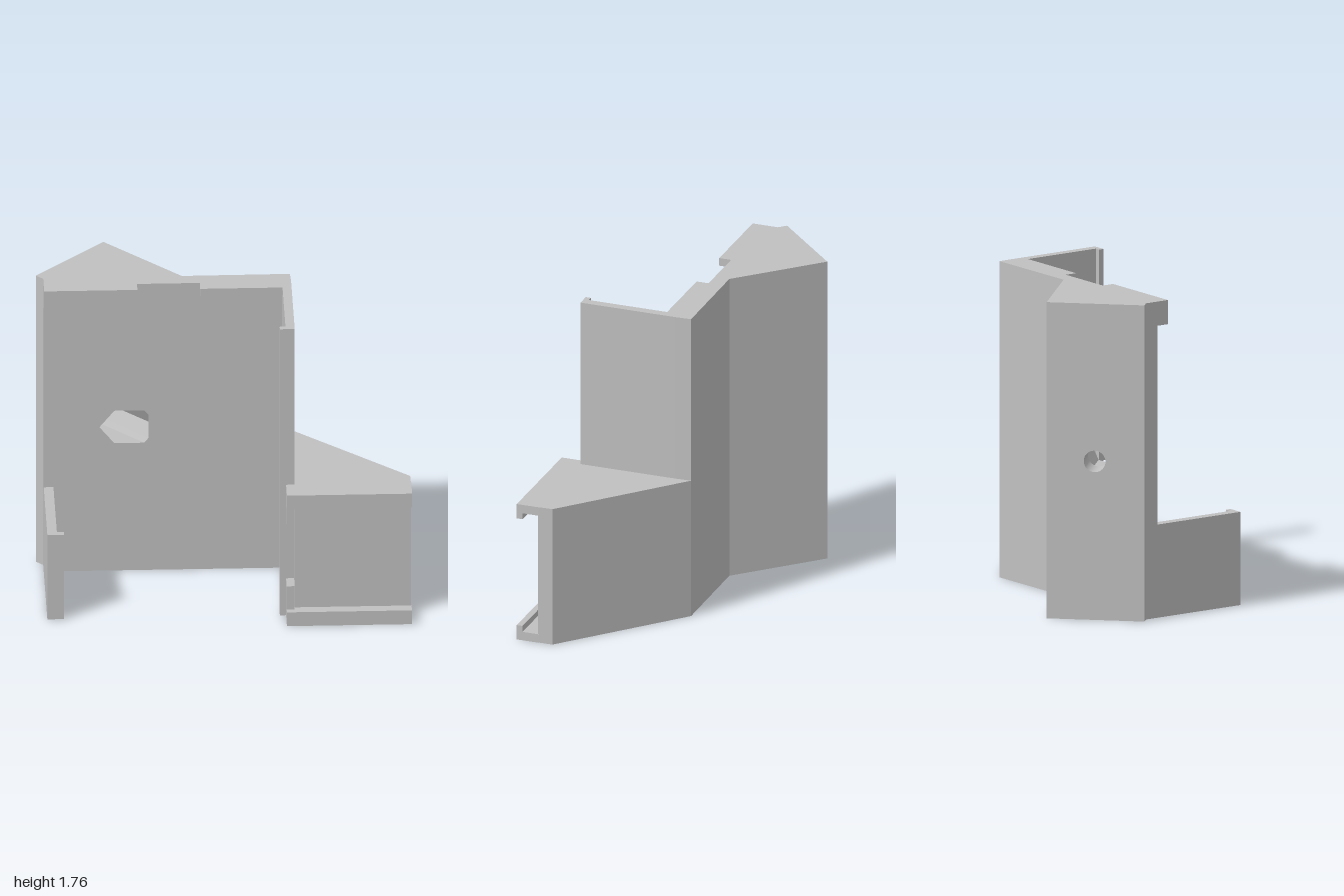
import * as THREE from 'three';

export function createModel() {
  const model = new THREE.Group();
  model.name = 'bracket';
  // double-sided because the main body is an open shell around its pocket
  const grey = new THREE.MeshStandardMaterial({ color: 0xc0c0c0, side: THREE.DoubleSide });
  grey.name = 'grey plastic';
  const H = 1.765;

  const add = (name, geometry, parent = model) => {
    const mesh = new THREE.Mesh(geometry, grey);
    mesh.name = name;
    parent.add(mesh);
    return mesh;
  };
  const outline = (pts) => new THREE.Shape(pts.map(([x, y]) => new THREE.Vector2(x, y)));

  // Diagonal plan axes: s = x + z runs out of the wall, d = z - x runs along it
  const plan = (s, d) => [(s - d) / 2, (s + d) / 2];

  // Upright prism from a plan outline of [x, z] points
  const prism = (name, pts, y0, y1) => {
    const g = new THREE.ExtrudeGeometry(outline(pts.map(([x, z]) => [x, -z])), { depth: y1 - y0, bevelEnabled: false });
    g.rotateX(-Math.PI / 2).translate(0, y0, 0);
    return add(name, g);
  };
  const block = (name, s0, s1, d0, d1, y0, y1) =>
    prism(name, [plan(s0, d0), plan(s1, d0), plan(s1, d1), plan(s0, d1)], y0, y1);

  // Main body shell, with openings for the nut pocket and the bore
  const body = new THREE.Group();
  body.name = 'mainBody';
  model.add(body);
  const plan0 = [[-1, -0.26], [-1, 0.28], [-0.945, 0.28], [-0.89, 0.335], [0.065, -0.62], [0, -0.68], [-0.415, -0.26]];
  const cy = 0.885, cz = 0.005, boreR = 0.06, floorX = -0.85, pocketX = -0.485;

  // Nut pocket section in [z, y]; its rear corner is cut off by the pocket end
  const hex = [[0.12, cy], [0.0625, cy + 0.1], [-0.0525, cy + 0.1], [-0.07, cy + 0.07], [-0.11, cy],
    [-0.07, cy - 0.07], [-0.0525, cy - 0.1], [0.0625, cy - 0.1]];

  const boreHole = (u) => new THREE.Path().absarc(u, cy, boreR, 0, Math.PI * 2, true);
  const pocketHole = outline(hex.filter((p, i) => i !== 4).map(([z, y]) => [(0.335 - z) * Math.SQRT2, y]));
  const holes = { 0: boreHole(cz + 0.26), 3: pocketHole };

  plan0.forEach(([ax, az], i) => {
    const [bx, bz] = plan0[(i + 1) % plan0.length];
    const len = Math.hypot(bx - ax, bz - az);
    const face = outline([[0, 0], [len, 0], [len, H], [0, H]]);
    if (holes[i]) face.holes.push(holes[i]);
    const dir = new THREE.Vector3((bx - ax) / len, 0, (bz - az) / len);
    const m = new THREE.Matrix4().makeBasis(dir, new THREE.Vector3(0, 1, 0), new THREE.Vector3(-dir.z, 0, dir.x));
    m.setPosition(ax, 0, az);
    add('bodySide', new THREE.ShapeGeometry(face, 24).applyMatrix4(m), body);
  });
  add('bodyTop', new THREE.ShapeGeometry(outline(plan0.map(([x, z]) => [x, -z])))
    .rotateX(-Math.PI / 2).translate(0, H, 0), body);
  add('bodyBottom', new THREE.ShapeGeometry(outline(plan0)).rotateX(Math.PI / 2), body);

  // Pocket sides, running along x up to the wall face
  const pos = [];
  const frontX = (z) => Math.min(pocketX, -0.555 - z);
  hex.forEach(([az, ay], i) => {
    const [bz, by] = hex[(i + 1) % hex.length];
    const a0 = [floorX, ay, az], b0 = [floorX, by, bz];
    const a1 = [frontX(az), ay, az], b1 = [frontX(bz), by, bz];
    pos.push(...a0, ...b0, ...b1, ...a0, ...b1, ...a1);
  });
  const sides = new THREE.BufferGeometry();
  sides.setAttribute('position', new THREE.Float32BufferAttribute(pos, 3));
  sides.computeVertexNormals();
  add('nutPocketSides', sides, body);

  // Pocket floor, hidden end and bolt bore
  const floor = outline(hex.map(([z, y]) => [-z, y]));
  floor.holes.push(boreHole(-cz));
  add('nutPocketFloor', new THREE.ShapeGeometry(floor, 24).rotateY(Math.PI / 2).translate(floorX, 0, 0), body);
  add('nutPocketEnd', new THREE.ShapeGeometry(outline(hex.slice(3, 6)))
    .rotateY(-Math.PI / 2).translate(pocketX, 0, 0), body);
  add('boltBore', new THREE.CylinderGeometry(boreR, boreR, floorX + 1, 48, 1, true)
    .rotateZ(Math.PI / 2).translate((floorX - 1) / 2, cy, cz), body);

  // Ledges along the top of the wall
  block('topLedgeRight', -0.555, -0.457, 0.505, 1.22, 1.72, H);
  block('topLedgeLeft', -0.555, -0.457, -0.615, 0.02, 1.72, H);
  block('cornerTab', -0.555, -0.457, 1.15, 1.225, 1.63, H);

  // Low clip arm on the right with its hooked end
  block('clipArm', -0.555, 0.235, 1.15, 1.225, 0, 0.52);
  block('clipHook', 0.19, 0.235, 1.095, 1.15, 0, 0.52);

  // Tall side wall with its hooked edge
  block('sideWall', -0.555, 0.232, -0.685, -0.615, 0, H);
  block('sideWallHook', 0.19, 0.232, -0.615, -0.57, 0, H);

  // Solid wedge carrying the slotted rail
  prism('railWedge', [[0, -0.68], [0.85, -0.73], plan(0.238, -1.582), plan(0.238, -0.685), [0.065, -0.62]], 0, 0.805);

  // Rail flanges, lips and end stops, mirrored about mid height
  const mid = 0.4025;
  const mirrored = (name, s0, s1, d0, d1, y0, y1) => {
    block('lower' + name, s0, s1, d0, d1, y0, y1);
    block('upper' + name, s0, s1, d0, d1, 2 * mid - y1, 2 * mid - y0);
  };
  mirrored('RailFlange', 0.23, 0.413, -1.585, -0.618, 0, 0.05);
  mirrored('RailLip', 0.365, 0.413, -1.585, -0.618, 0.05, 0.085);
  mirrored('RailEndStop', 0.23, 0.365, -0.68, -0.618, 0.05, 0.228);

  return model;
}
